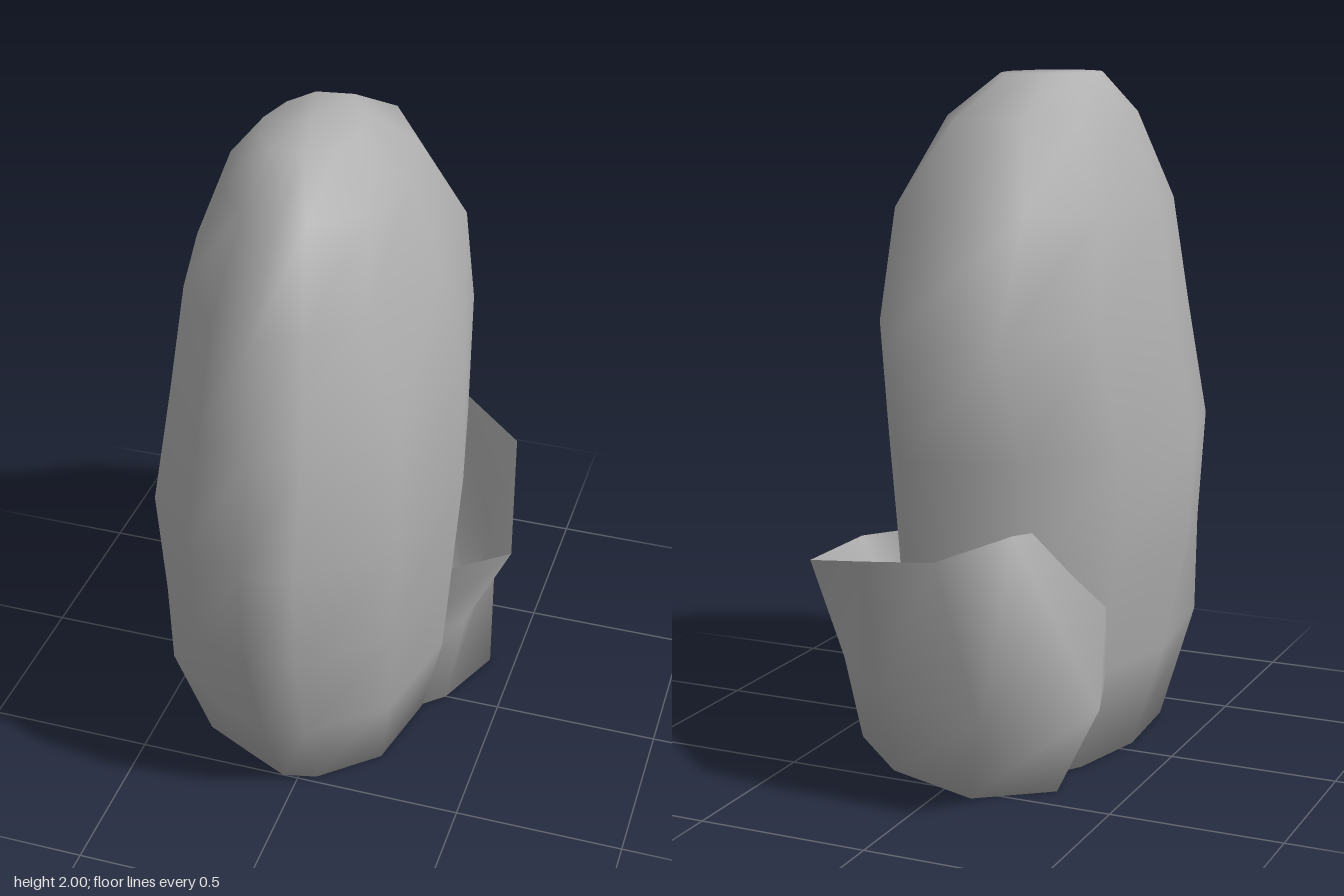
import * as THREE from 'three';

// Skin closed loops of points, listed bottom to top, with smooth normals.
// The base is always closed; the top is closed only when a centre is given.
function loft(rings, bottomCentre, topCentre = null) {
  const n = rings[0].length;
  const last = (rings.length - 1) * n;
  const bottom = rings.length * n, top = bottom + 1;
  const positions = [...rings.flat(2), ...bottomCentre, ...(topCentre ?? [])];
  const index = [];
  for (let i = 0; i < n; i++) {
    const j = (i + 1) % n;
    for (let r = 0; r < rings.length - 1; r++) {
      const a = r * n + i, b = r * n + j, c = a + n, d = b + n;
      index.push(a, c, b, b, c, d);
    }
    index.push(bottom, i, j);
    if (topCentre) index.push(top, last + j, last + i);
  }
  const geometry = new THREE.BufferGeometry();
  geometry.setAttribute('position', new THREE.Float32BufferAttribute(positions, 3));
  geometry.setIndex(index);
  geometry.computeVertexNormals();
  return geometry;
}

// Irregular plan outline, scaled to each level's extents
const OUTLINE = [
  [1, 0.05], [0.82, 0.63], [0.3, 0.95], [-0.02, 1], [-0.42, 0.87], [-0.8, 0.58],
  [-1, 0.05], [-0.8, -0.5], [-0.4, -0.92], [0.36, -1], [0.82, -0.5],
];

// y, xMin, xMax, zMin, zMax
const LEVELS = [
  [0, -0.35, 0.27, -0.42, 0.5],
  [0.3, -0.43, 0.34, -0.5, 0.65],
  [0.62, -0.49, 0.37, -0.53, 0.74],
  [0.95, -0.51, 0.395, -0.56, 0.77],
  [1.3, -0.455, 0.375, -0.65, 0.74],
  [1.62, -0.4, 0.31, -0.44, 0.65],
  [1.88, -0.3, 0.22, -0.31, 0.49],
  [2, -0.2, 0.08, -0.1, 0.31],
];

function boulderGeometry() {
  const rings = LEVELS.map(([y, x0, x1, z0, z1]) => OUTLINE.map(([u, v]) => [
    (x0 + x1) / 2 + u * (x1 - x0) / 2,
    y,
    (z0 + z1) / 2 + v * (z1 - z0) / 2,
  ]));
  // Local knobs and hollows
  rings[0][5] = [-0.33, 0, 0.36];
  rings[1][5] = [-0.41, 0.33, 0.44];
  rings[4][2][2] -= 0.04;
  rings[5][1][0] -= 0.05;
  rings[5][2][2] -= 0.05;
  rings[5][10] = [0.29, 1.62, -0.22];
  return loft(rings, [-0.04, 0, 0.04], [-0.07, 2, 0.1]);
}

// Slab wrapped round the back, standing off the boulder at its open, ragged rim
function slabGeometry() {
  const rings = [
    [[-0.2, 0, 0], [-0.3, 0, -0.4], [-0.1, 0, -0.55], [0.2, 0, -0.44], [0.42, 0, -0.22], [0.33, 0, 0], [0.12, 0, 0.2]],
    [[-0.3, 0.3, 0], [-0.46, 0.29, -0.48], [-0.22, 0.29, -0.745], [0.13, 0.3, -0.67], [0.38, 0.31, -0.4], [0.38, 0.31, -0.02], [0.2, 0.3, 0.2]],
    [[-0.3, 0.7, 0], [-0.24, 0.78, -0.57], [-0.1, 0.74, -0.775], [0.13, 0.71, -0.74], [0.4, 0.64, -0.555], [0.51, 0.58, -0.04], [0.25, 0.6, 0.2]],
  ];
  return loft(rings, [0.05, 0, -0.2]);
}

export function createModel() {
  const group = new THREE.Group();
  group.name = 'rock';
  const stone = new THREE.MeshStandardMaterial({ color: 0xb0b0b0, side: THREE.DoubleSide });
  const parts = { boulder: boulderGeometry(), backSlab: slabGeometry() };
  for (const [name, geometry] of Object.entries(parts)) {
    const mesh = new THREE.Mesh(geometry, stone);
    mesh.name = name;
    group.add(mesh);
  }
  return group;
}
